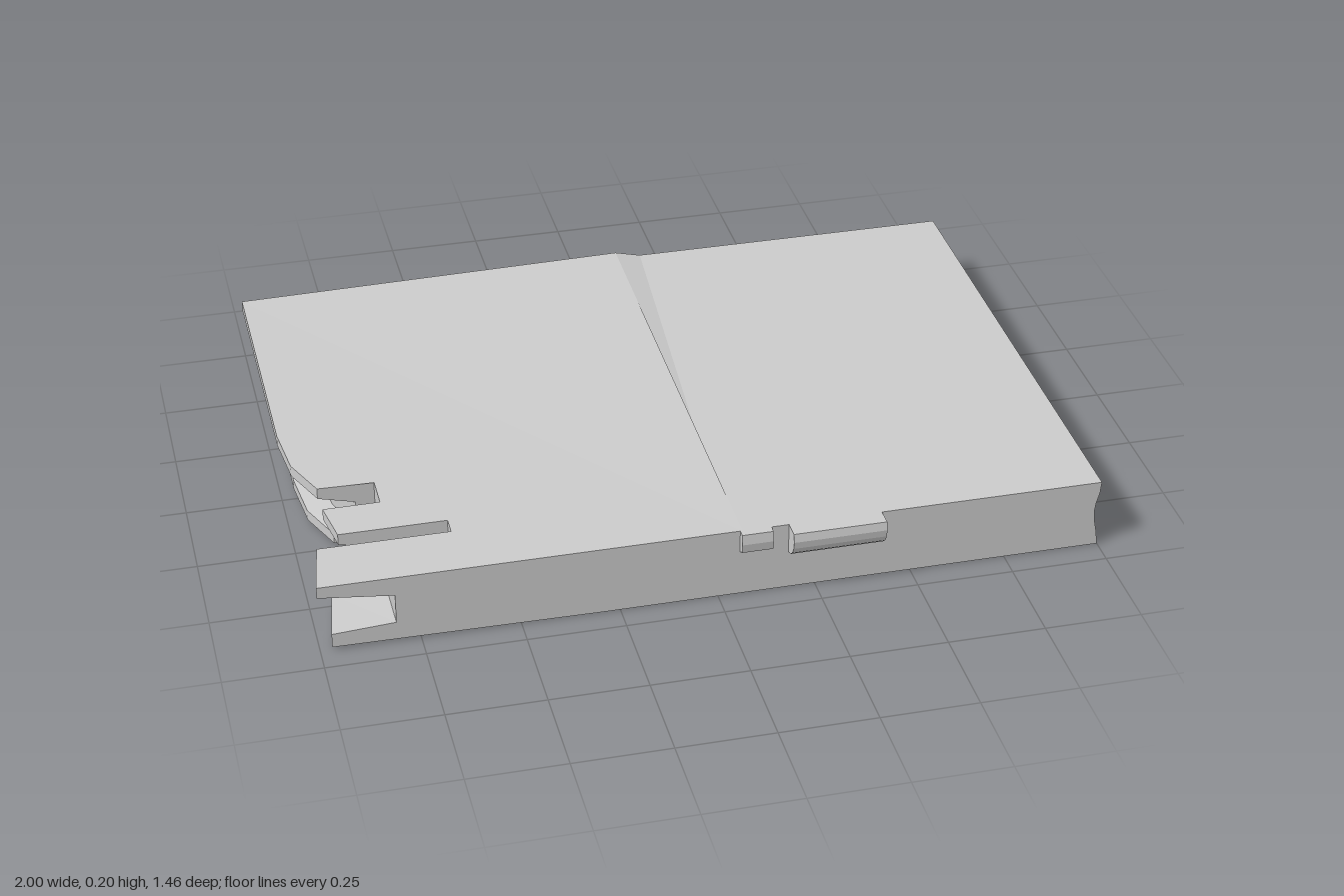
import * as THREE from 'three';

const BACK = -0.73, FRONT = 0.68, TOP = 0.187;

export function createModel() {
  const model = new THREE.Group();
  const material = new THREE.MeshStandardMaterial({ color: 0xcccccc, flatShading: true, side: THREE.DoubleSide });

  const add = (name, geometry) => {
    const mesh = new THREE.Mesh(geometry, material);
    mesh.name = name;
    model.add(mesh);
    return mesh;
  };

  // Flat panel from 2D points; place(a, b) gives its 3D position
  const panel = (name, points, place) => {
    const g = new THREE.ShapeGeometry(new THREE.Shape(points.map(([a, b]) => new THREE.Vector2(a, b))));
    const p = g.attributes.position;
    for (let i = 0; i < p.count; i++) p.setXYZ(i, ...place(p.getX(i), p.getY(i)));
    g.computeVertexNormals();
    return add(name, g);
  };

  // Open skin stretched over rows of 3D points
  const loft = (name, rows) => {
    const n = rows[0].length, index = [];
    for (let r = 0; r < rows.length - 1; r++) {
      for (let k = 0; k < n - 1; k++) {
        const a = r * n + k, b = a + n;
        index.push(a, b, a + 1, a + 1, b, b + 1);
      }
    }
    const g = new THREE.BufferGeometry();
    g.setAttribute('position', new THREE.Float32BufferAttribute(rows.flat(2), 3));
    g.setIndex(index);
    g.computeVertexNormals();
    return add(name, g);
  };

  // The top rises gently to a low ridge that grows toward the back
  const topY = (x, z) => {
    const ramp = x < 0.06 ? (x + 1) / 1.06 : Math.max(0, 1 - (x - 0.06) / 0.07);
    const back = Math.min(1, Math.max(0, (0.2 - z) / 0.93));
    return TOP + ramp * back * 0.017;
  };
  const onTop = (x, z) => [x, topY(x, z), z];

  // Top sheet: notched left part, ridge step and plain right part
  panel('topNotched', [
    [0.06, BACK], [-1, BACK], [-1, -0.02], [-0.985, 0.13], [-0.935, 0.25],
    [-0.79, 0.255], [-0.79, 0.345], [-0.935, 0.345], [-0.915, 0.465],
    [-0.64, 0.465], [-0.64, 0.515], [-0.975, 0.515], [-1, FRONT], [0.06, FRONT],
  ], onTop);
  loft('topStep', [0.06, 0.13].map((x) => [onTop(x, BACK), onTop(x, 0.2), onTop(x, FRONT)]));
  panel('topPlain', [[0.13, BACK], [1, BACK], [1, FRONT], [0.13, FRONT]], onTop);

  // Channel section: upper lip, recess and lower lip
  const section = ({ edge, wall, low, recess, base }) => [
    [edge, TOP], [edge, 0.157], [wall, recess], [wall, 0.055], [low, 0.045], [low, base],
  ];
  const channels = [
    [
      { z: BACK, edge: -1, wall: -0.9, low: -0.965, recess: 0.147, base: 0.016 },
      { z: -0.02, edge: -1, wall: -0.9, low: -0.965, recess: 0.138, base: 0.016 },
      { z: 0.13, edge: -0.985, wall: -0.885, low: -0.95, recess: 0.135, base: 0.016 },
      { z: 0.25, edge: -0.935, wall: -0.84, low: -0.9, recess: 0.133, base: 0.016 },
    ],
    [
      { z: 0.345, edge: -0.935, wall: -0.83, low: -0.9, recess: 0.138, base: 0.018 },
      { z: 0.465, edge: -0.915, wall: -0.82, low: -0.88, recess: 0.142, base: 0.015 },
    ],
    [
      { z: 0.515, edge: -0.975, wall: -0.81, low: -0.945, recess: 0.145, base: 0.012 },
      { z: FRONT, edge: -1, wall: -0.81, low: -0.97, recess: 0.135, base: 0.007 },
    ],
  ];
  for (const stations of channels) {
    loft('sideChannel', stations.map((s) => section(s).map(([x, y]) => [x, y, s.z])));
  }

  // Notches cut through the side: two cheeks and an end wall each
  const notches = [
    { x: -0.79, from: channels[0][3], to: channels[1][0] },
    { x: -0.64, from: channels[1][1], to: channels[2][0] },
  ];
  for (const { x, from, to } of notches) {
    for (const s of [from, to]) {
      panel('notchCheek', [...section(s), [x, s.base], [x, TOP]], (a, b) => [a, b, s.z]);
    }
    loft('notchEnd', [from, to].map((s) => [[x, TOP, s.z], [x, s.base, s.z]]));
  }

  // Front tabs: outward bulges described by their side profile (z, y)
  const tabs = [
    { x0: 0.055, x1: 0.135, low: 0.125, profile: [[FRONT, TOP], [0.7, TOP], [0.704, 0.16], [0.7, 0.135], [FRONT, 0.125]] },
    {
      x0: 0.18, x1: 0.42, low: 0.105,
      profile: [[FRONT, TOP], [0.725, TOP], [0.73, 0.165], [0.727, 0.145], [0.715, 0.125], [0.7, 0.112], [FRONT, 0.105]],
    },
  ];
  for (const { x0, x1, profile } of tabs) {
    loft('frontTab', [x0, x1].map((x) => profile.map(([z, y]) => [x, y, z])));
    for (const x of [x0, x1]) panel('frontTabEnd', profile, (z, y) => [x, y, z]);
  }

  // Front wall: channel opening at one end, shallow dent at the other, gaps behind the tabs
  const tabGaps = [...tabs].reverse().flatMap(({ x0, x1, low }) => [[x1, TOP], [x1, low], [x0, low], [x0, TOP]]);
  panel('frontWall', [
    ...section(channels[2][1]), [-0.3, 0], [1, 0],
    [0.995, 0.04], [0.988, 0.075], [0.986, 0.1], [0.989, 0.125], [0.997, 0.155], [1, TOP],
    ...tabGaps,
  ], (x, y) => [x, y, FRONT]);

  return model;
}
